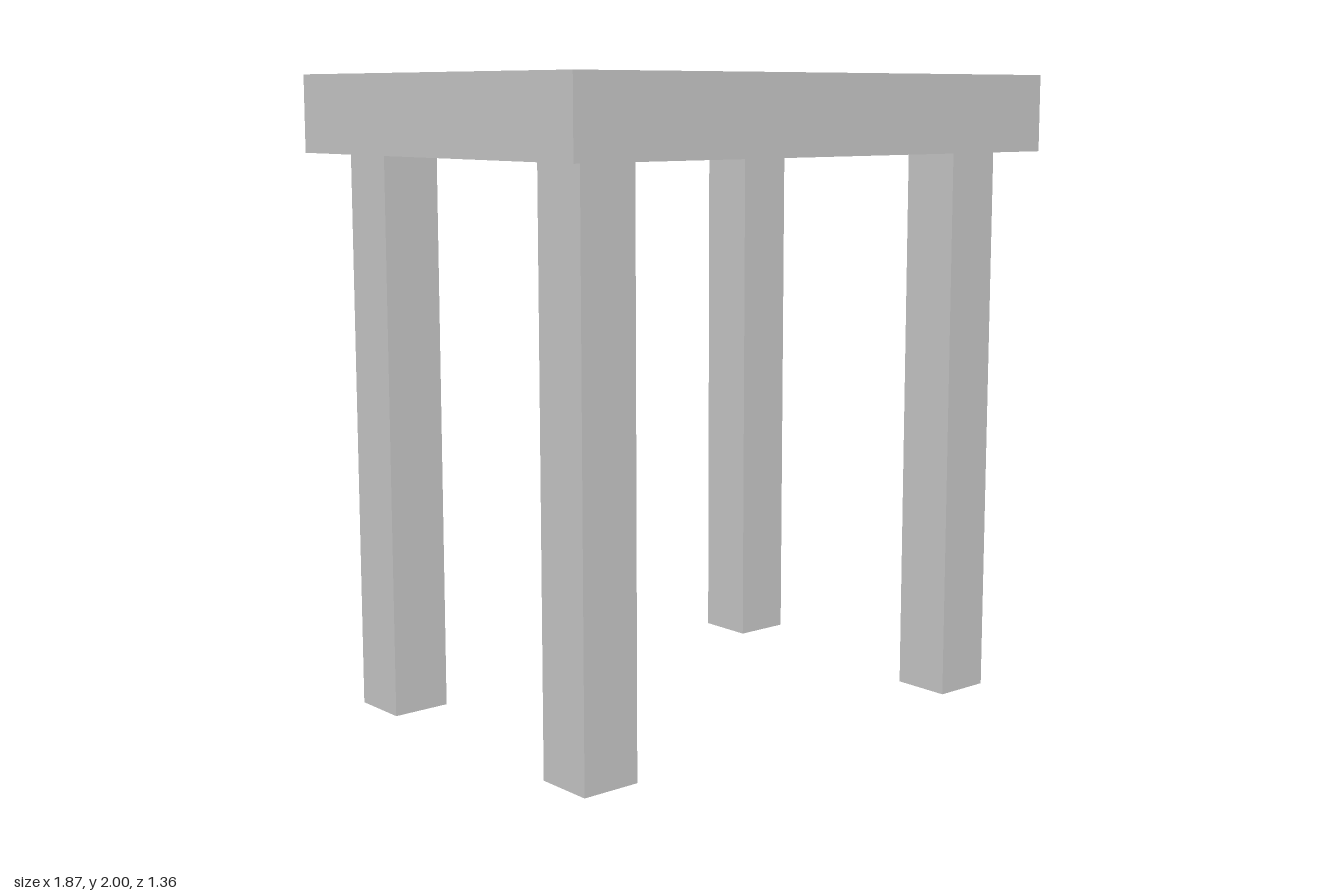
import * as THREE from 'three';

const TOP = { width: 1.87, depth: 1.36, thickness: 0.24 };
const LEG = { size: 0.19, height: 1.76, x: 0.74, z: 0.483 };

export function createModel() {
  const model = new THREE.Group();
  model.name = 'table';
  const material = new THREE.MeshStandardMaterial({ color: 0xcccccc, flatShading: true });

  const addBox = (name, w, h, d, x, y, z) => {
    const mesh = new THREE.Mesh(new THREE.BoxGeometry(w, h, d), material);
    mesh.name = name;
    mesh.position.set(x, y, z);
    model.add(mesh);
  };

  // Thick rectangular slab
  addBox('tabletop', TOP.width, TOP.thickness, TOP.depth, 0, LEG.height + TOP.thickness / 2, 0);

  // Four square legs, set in from the corners
  for (const [side, sx] of [['Left', 1], ['Right', -1]]) {
    for (const [end, sz] of [['front', 1], ['back', -1]]) {
      addBox(`${end}${side}Leg`, LEG.size, LEG.height, LEG.size, sx * LEG.x, LEG.height / 2, sz * LEG.z);
    }
  }

  return model;
}
